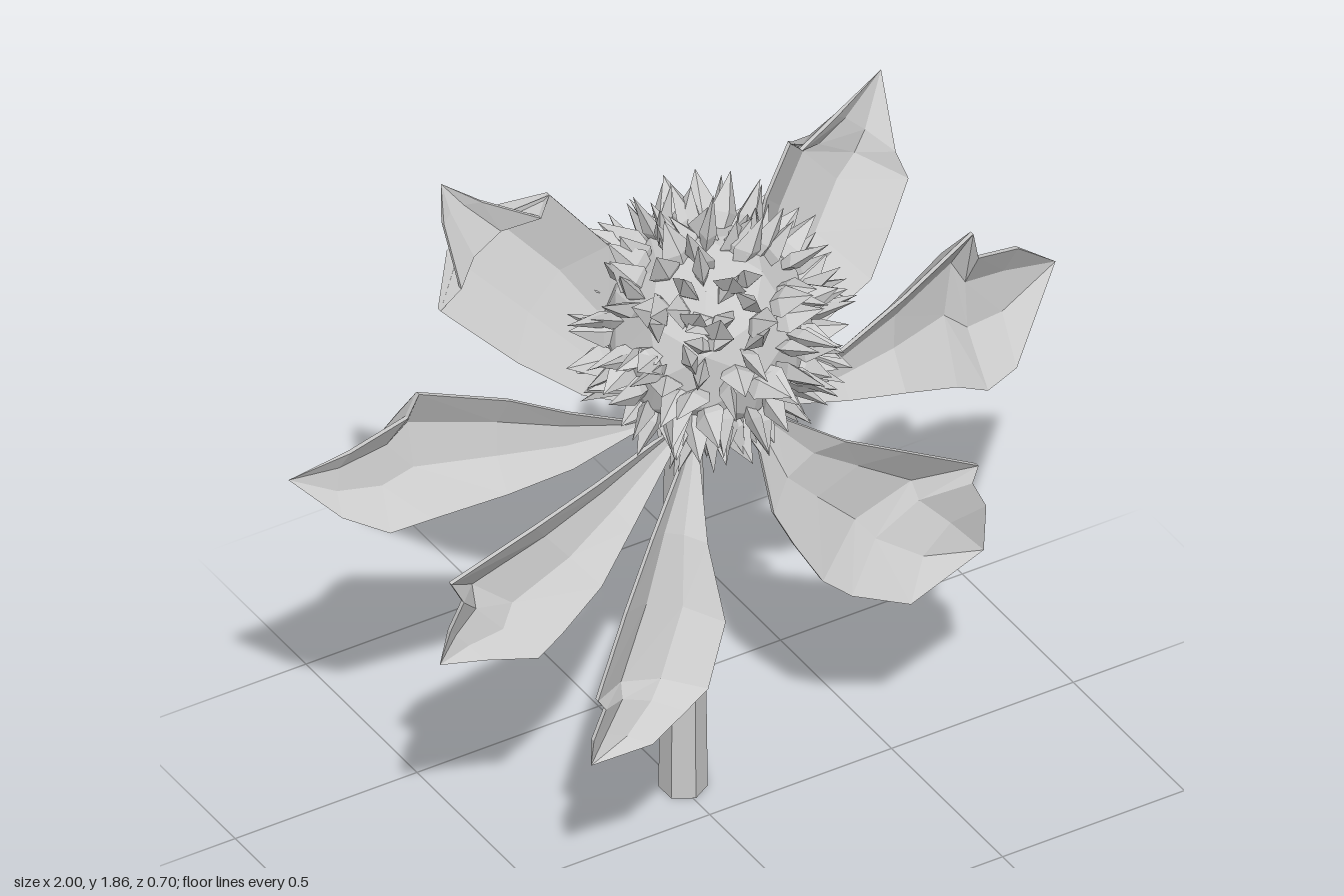
import * as THREE from 'three';

const grey = new THREE.MeshStandardMaterial({ color: 0xcccccc, flatShading: true });
grey.name = 'pale grey';

// Small seeded generator
function makeRandom(seed) {
  return () => {
    seed = (seed * 16807) % 2147483647;
    return seed / 2147483647;
  };
}

function addMesh(parent, name, geometry) {
  const mesh = new THREE.Mesh(geometry, grey);
  mesh.name = name;
  parent.add(mesh);
  return mesh;
}

// Spoon-shaped petal: a closed loft of cupped cross-sections between two jagged edges
function petalGeometry(base, tip, edgeA, edgeB) {
  const [bx, by, bz] = base, [tx, ty, tz] = tip;
  const dx = tx - bx, dy = ty - by, len2 = dx * dx + dy * dy;
  // keep the first edge on the left of the growing direction
  const side = dx * (edgeA[3][1] - by) - dy * (edgeA[3][0] - bx);
  const [left, right] = side > 0 ? [edgeA, edgeB] : [edgeB, edgeA];

  const place = ([x, y]) => {
    const t = ((x - bx) * dx + (y - by) * dy) / len2;
    const axisY = by + dy * t;
    const z = bz + (tz - bz) * t - 0.12 * (y - axisY) + 0.02 * Math.sin(Math.PI * Math.min(1, Math.max(0, t)));
    return new THREE.Vector3(x, y, z);
  };
  const across = [0, 0.3, 0.65, 1];
  const rings = left.map((l, i) => {
    const a = place(l), b = place(right[i]), w = a.distanceTo(b);
    const at = (s, depth) => {
      const p = a.clone().lerp(b, s);
      p.z += 0.05 * Math.min(1, w * 4) - depth * w * 4 * s * (1 - s);
      return p;
    };
    const front = across.map(s => at(s, 0.24));
    const back = [...across].reverse().map(s => {
      const p = at(s, 0.34);
      p.z -= 0.012;
      return p;
    });
    return [...front, ...back];
  });
  const n = rings[0].length;
  const pos = [];
  const tri = (a, b, c) => [a, b, c].forEach(p => pos.push(p.x, p.y, p.z));
  const start = new THREE.Vector3(bx, by, bz), end = new THREE.Vector3(tx, ty, tz);
  for (let j = 0; j < n; j++) {
    const k = (j + 1) % n;
    tri(start, rings[0][k], rings[0][j]);
    for (let i = 0; i < rings.length - 1; i++) {
      const p = rings[i], q = rings[i + 1];
      tri(p[j], p[k], q[k]);
      tri(p[j], q[k], q[j]);
    }
    const last = rings[rings.length - 1];
    tri(last[j], last[k], end);
  }
  const g = new THREE.BufferGeometry();
  g.setAttribute('position', new THREE.Float32BufferAttribute(pos, 3));
  g.computeVertexNormals();
  return g;
}

// Each petal: base, tip, then its two jagged edges from base to tip
const petals = {
  upperRightPetal: [[-0.04, 1.22, -0.04], [-0.55, 1.86, -0.31],
    [[-0.15, 1.23], [-0.32, 1.32], [-0.47, 1.44], [-0.63, 1.6], [-0.57, 1.64], [-0.57, 1.78]],
    [[-0.08, 1.3], [-0.14, 1.5], [-0.2, 1.66], [-0.32, 1.81], [-0.35, 1.76], [-0.47, 1.81]]],
  upperLeftPetal: [[0.06, 1.22, -0.04], [0.63, 1.77, -0.26],
    [[0.1, 1.32], [0.15, 1.5], [0.22, 1.65], [0.31, 1.75], [0.34, 1.72], [0.46, 1.75]],
    [[0.17, 1.25], [0.3, 1.28], [0.48, 1.34], [0.56, 1.44], [0.63, 1.53], [0.61, 1.6]]],
  leftPetal: [[0.06, 1.18, 0.04], [1, 1.18, -0.08],
    [[0.2, 1.2], [0.35, 1.25], [0.52, 1.33], [0.73, 1.41], [0.74, 1.34], [0.86, 1.31]],
    [[0.2, 1.15], [0.35, 1.11], [0.5, 1.08], [0.65, 1.03], [0.74, 0.98], [0.83, 1.0]]],
  lowerLeftPetal: [[0.05, 1.17, 0.01], [0.65, 0.63, 0.17],
    [[0.18, 1.12], [0.3, 1.05], [0.45, 0.98], [0.63, 0.89], [0.61, 0.85], [0.64, 0.78]],
    [[0.1, 1.06], [0.1, 0.92], [0.14, 0.83], [0.2, 0.72], [0.27, 0.66], [0.42, 0.59]]],
  lowerRightPetal: [[-0.05, 1.17, 0.02], [-0.51, 0.53, 0.3],
    [[-0.13, 1.1], [-0.25, 1.0], [-0.37, 0.88], [-0.49, 0.71], [-0.47, 0.68], [-0.51, 0.61]],
    [[-0.07, 1.07], [-0.1, 0.93], [-0.1, 0.75], [-0.18, 0.62], [-0.25, 0.59], [-0.35, 0.54]]],
  middleRightPetal: [[-0.05, 1.18, 0], [-0.81, 0.82, 0.11],
    [[-0.17, 1.17], [-0.35, 1.15], [-0.55, 1.12], [-0.79, 1.06], [-0.76, 1.0], [-0.79, 0.92]],
    [[-0.14, 1.11], [-0.27, 1.0], [-0.38, 0.9], [-0.5, 0.82], [-0.57, 0.78], [-0.7, 0.81]]],
  rightPetal: [[-0.05, 1.19, -0.02], [-1, 1.2, -0.26],
    [[-0.2, 1.2], [-0.35, 1.27], [-0.5, 1.35], [-0.71, 1.41], [-0.74, 1.35], [-0.87, 1.27]],
    [[-0.2, 1.16], [-0.35, 1.12], [-0.52, 1.1], [-0.7, 1.07], [-0.8, 1.05], [-0.9, 1.1]]],
};

export function createModel() {
  const model = new THREE.Group();
  model.name = 'flower';

  // Six-sided stem, leaning by a shear so its foot stays level
  const height = 1.14;
  const stem = new THREE.CylinderGeometry(0.044, 0.058, height, 6);
  stem.translate(0, height / 2, 0);
  const p = stem.attributes.position;
  for (let i = 0; i < p.count; i++) {
    const t = p.getY(i) / height;
    p.setX(i, p.getX(i) + 0.006 - 0.024 * t);
    p.setZ(i, p.getZ(i) - 0.13 + 0.042 * t);
  }
  stem.computeVertexNormals();
  addMesh(model, 'stem', stem);

  // Faceted cup behind the head
  const up = new THREE.Vector3(0, 1, 0);
  const cup = addMesh(model, 'cup', new THREE.CylinderGeometry(0.16, 0.11, 0.14, 7));
  cup.position.set(0.03, 1.2, -0.12);
  cup.quaternion.setFromUnitVectors(up, new THREE.Vector3(0, 0.86, 0.5).normalize());

  // Petals
  const ring = new THREE.Group();
  ring.name = 'petals';
  model.add(ring);
  for (const [name, args] of Object.entries(petals)) addMesh(ring, name, petalGeometry(...args));

  // Round head covered in flat, pointed florets
  const head = new THREE.Group();
  head.name = 'head';
  head.position.set(-0.01, 1.44, 0);
  model.add(head);
  addMesh(head, 'core', new THREE.IcosahedronGeometry(0.25, 1));
  const profile = [[0, 0], [0.042, 0.1], [0, 0.2]].map(([x, y]) => new THREE.Vector2(x, y));
  const floret = new THREE.LatheGeometry(profile, 4);
  floret.scale(1, 1, 0.5);
  const random = makeRandom(77);
  const count = 230;
  for (let i = 0; i < count; i++) {
    const y = 1 - (2 * (i + 0.5)) / count;
    const r = Math.sqrt(1 - y * y), a = i * 2.39996;
    const dir = new THREE.Vector3(r * Math.cos(a), y, r * Math.sin(a));
    const lean = new THREE.Vector3(random() - 0.5, random() - 0.5, random() - 0.5);
    const spike = addMesh(head, 'floret', floret);
    spike.position.copy(dir).multiplyScalar(0.175);
    spike.quaternion.setFromUnitVectors(up, dir.clone().add(lean).normalize());
    spike.rotateY(random() * Math.PI);
    spike.scale.y = 0.8 + 0.2 * random();
  }
  return model;
}
